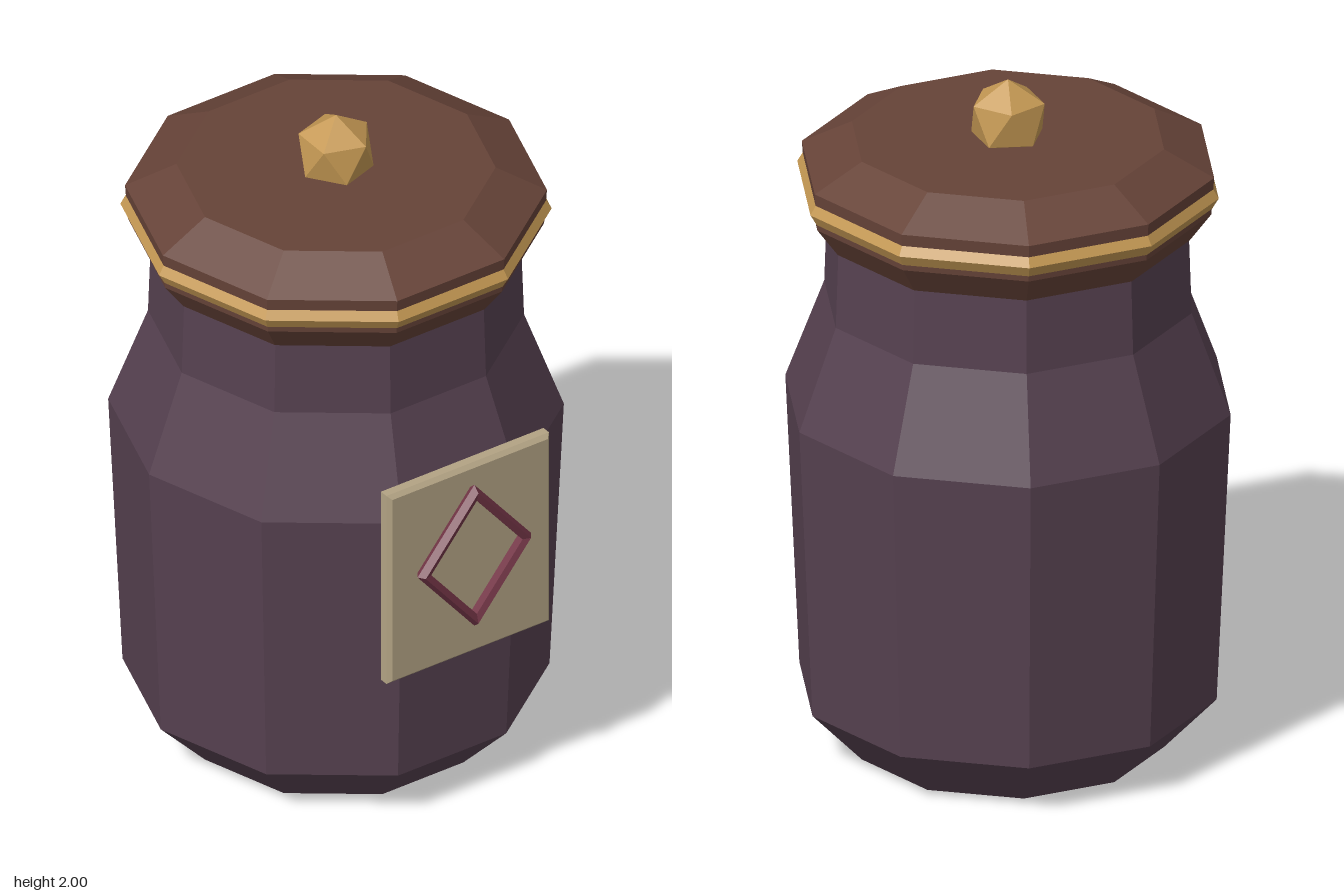
import * as THREE from 'three';
import { ConvexGeometry } from 'three/addons/geometries/ConvexGeometry.js';

const SIDES = 10;
const AXIS_Z = -0.045; // the jar sits slightly back, balancing the label

function material(name, color) {
  const m = new THREE.MeshStandardMaterial({ color, flatShading: true });
  m.name = name;
  return m;
}

export function createModel() {
  const group = new THREE.Group();
  const plum = material('plum glaze', 0x564150);
  const brown = material('brown lid', 0x664338);
  const gold = material('gold trim', 0xc49853);
  const cream = material('cream label', 0xb3a384);
  const wine = material('wine emblem', 0x743647);

  const add = (name, geometry, mat, x, y, z) => {
    const mesh = new THREE.Mesh(geometry, mat);
    mesh.name = name;
    mesh.position.set(x, y, z);
    group.add(mesh);
    return mesh;
  };
  // Ten-sided turned shape with a corner on +x and a flat facing +z
  const turned = (profile) => new THREE.LatheGeometry(
    profile.map(([r, y]) => new THREE.Vector2(r, y)), SIDES, Math.PI / SIDES);

  // Jar body
  add('jarBody', turned([
    [0, 0], [0.445, 0], [0.595, 0.16], [0.635, 1.035],
    [0.524, 1.335], [0.516, 1.57], [0, 1.57],
  ]), plum, 0, 0, AXIS_Z);

  // Lid with flared underside and chamfered top
  add('lid', turned([
    [0, 1.557], [0.518, 1.557], [0.58, 1.643], [0.588, 1.755],
    [0.445, 1.829], [0, 1.829],
  ]), brown, 0, 0, AXIS_Z);

  // Gold band around the lid
  const band = new THREE.TorusGeometry(0.563, 0.038, 6, SIDES);
  band.rotateX(Math.PI / 2);
  add('lidBand', band, gold, 0, 1.693, AXIS_Z);

  // Icosahedral knob standing on a point, half sunk into the lid
  const R = 0.117;
  const ringY = R / Math.sqrt(5);
  const points = [new THREE.Vector3(0, R, 0), new THREE.Vector3(0, -R, 0)];
  for (let i = 0; i < 10; i++) {
    const a = (i * Math.PI) / 5;
    points.push(new THREE.Vector3(
      2 * ringY * Math.cos(a), i % 2 ? -ringY : ringY, 2 * ringY * Math.sin(a)));
  }
  add('lidKnob', new ConvexGeometry(points), gold, 0, 2 - R, AXIS_Z);

  // Bevelled label plate
  const bevel = 0.012;
  const w = 0.276 - bevel;
  const h = 0.317 - bevel;
  const outline = new THREE.Shape([
    new THREE.Vector2(-w, -h), new THREE.Vector2(w, -h),
    new THREE.Vector2(w, h), new THREE.Vector2(-w, h),
  ]);
  const plate = new THREE.ExtrudeGeometry(outline, {
    depth: 0.05 - 2 * bevel, bevelEnabled: true,
    bevelThickness: bevel, bevelSize: bevel, bevelSegments: 1,
  });
  add('labelPlate', plate, cream, 0, 0.864, 0.558 + bevel);

  // Raised diamond outline on the label
  const diamond = new THREE.TorusGeometry(0.172, 0.021, 5, 4);
  diamond.scale(1, 1.23, 1);
  add('diamondEmblem', diamond, wine, 0, 0.892, 0.629);

  return group;
}
